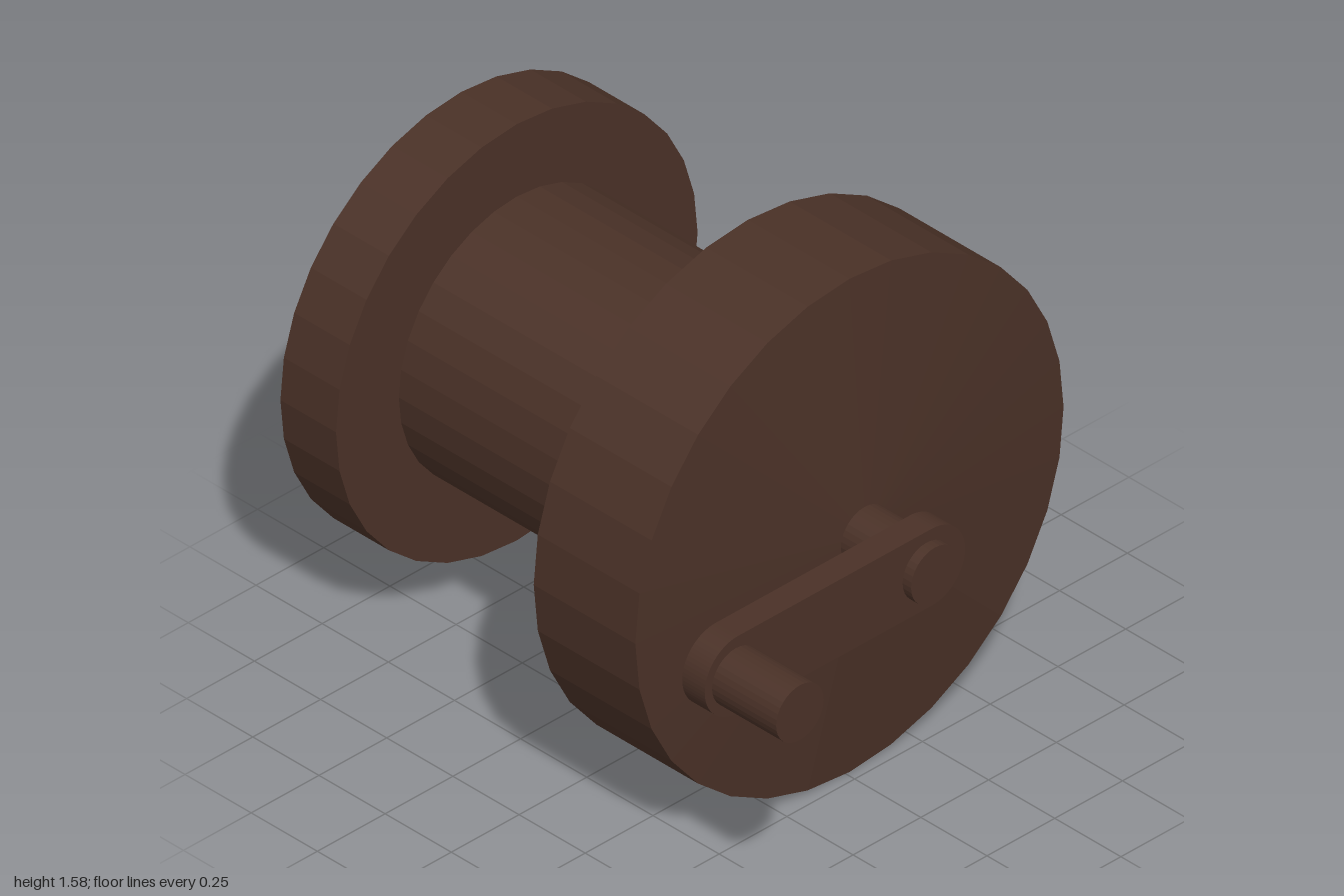
import * as THREE from 'three';

const CX = 0.013, CY = 0.79; // spool axis

export function createModel() {
  const group = new THREE.Group();
  const darkWood = new THREE.MeshStandardMaterial({ color: 0x4a3127, flatShading: true });
  darkWood.name = 'darkWood';

  const add = (name, geometry, x, y, z) => {
    const mesh = new THREE.Mesh(geometry, darkWood);
    mesh.name = name;
    mesh.position.set(x, y, z);
    group.add(mesh);
  };

  // Solid turned around the z axis; profile is [radius, z] from back to front
  const turned = (name, profile, x = CX) => {
    const points = profile.map(([r, z]) => new THREE.Vector2(r, z));
    add(name, new THREE.LatheGeometry(points, 32).rotateX(Math.PI / 2), x, CY, 0);
  };
  const rod = (name, r, back, front, x) =>
    turned(name, [[0, back], [r, back], [r, front], [0, front]], x);

  // Spool: back flange, core and front drum with a shallow cone
  rod('backFlange', 0.667, -1, -0.79);
  rod('spoolCore', 0.435, -0.8, 0.1);
  turned('frontDrum', [[0, 0.083], [0.79, 0.083], [0.79, 0.467], [0, 0.532]]);

  // Crank: axle, rounded arm and handle
  rod('crankAxle', 0.088, 0.5, 0.79);

  const r = 0.123, left = -0.682, right = 0.033;
  const arm = new THREE.Shape();
  arm.absarc(right, 0, r, -Math.PI / 2, Math.PI / 2, false);
  arm.absarc(left, 0, r, Math.PI / 2, Math.PI * 1.5, false);
  const armGeometry = new THREE.ExtrudeGeometry(arm, { depth: 0.085, bevelEnabled: false, curveSegments: 16 });
  add('crankArm', armGeometry, 0, CY, 0.673);

  rod('crankHandle', 0.088, 0.7, 1, -0.69);

  return group;
}
